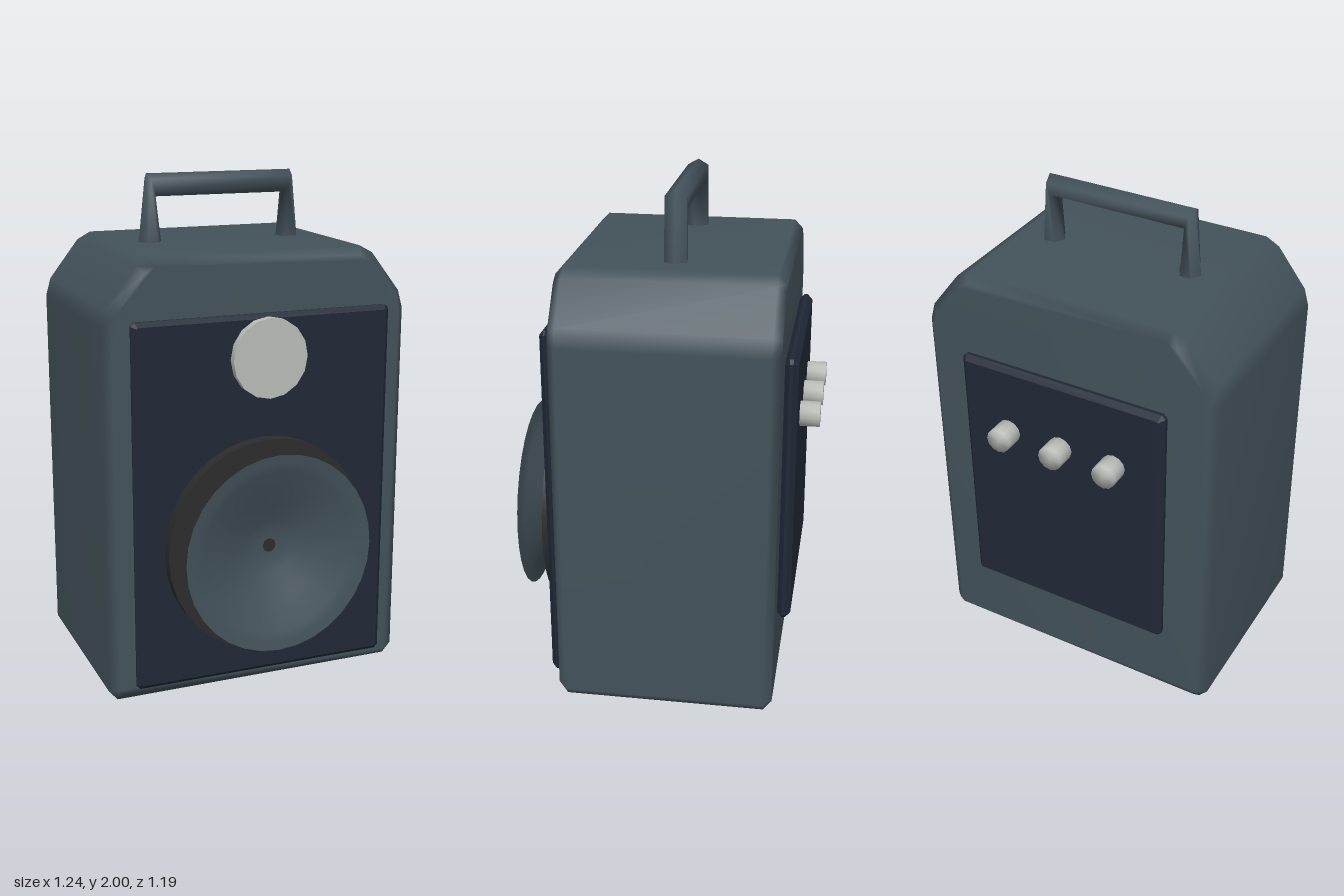
import * as THREE from 'three';
import { mergeVertices } from 'three/addons/utils/BufferGeometryUtils.js';

const material = (color, extra = {}) => new THREE.MeshStandardMaterial({ color, ...extra });

// Share vertices so that normals blend over every edge
function smooth(geometry) {
  geometry.deleteAttribute('normal');
  geometry.deleteAttribute('uv');
  const merged = mergeVertices(geometry, 1e-4);
  merged.computeVertexNormals();
  return merged;
}

// Bevelled slab: the outline is the widest section, z0..z1 the full depth
function slab(points, z0, z1, bevel) {
  const shape = new THREE.Shape(points.map(([x, y]) => new THREE.Vector2(x, y)));
  const geometry = new THREE.ExtrudeGeometry(shape, {
    depth: z1 - z0 - 2 * bevel, bevelEnabled: true, bevelSegments: 1,
    bevelSize: bevel, bevelThickness: bevel, bevelOffset: -bevel,
  });
  return geometry.translate(0, 0, z0 + bevel);
}

// Rectangle with cut corners
function cutRectangle(w, y0, y1, c) {
  return [[-w + c, y0], [w - c, y0], [w, y0 + c], [w, y1 - c],
    [w - c, y1], [-w + c, y1], [-w, y1 - c], [-w, y0 + c]];
}

// Cylinder lying along z
function disc(radius, z0, z1, segments) {
  return new THREE.CylinderGeometry(radius, radius, z1 - z0, segments)
    .rotateX(Math.PI / 2).translate(0, 0, (z0 + z1) / 2);
}

// Six-sided bar swept through rings of [x, y, half-width x, half-width y]
function hexBar(rings, z, radius) {
  const positions = [], index = [], n = 6;
  for (const [x, y, dx, dy] of rings) {
    for (let i = 0; i < n; i++) {
      const a = (i / n) * Math.PI * 2;
      positions.push(x + dx * Math.cos(a), y + dy * Math.cos(a), z + radius * Math.sin(a));
    }
  }
  for (let r = 0; r < rings.length - 1; r++) {
    for (let i = 0; i < n; i++) {
      const a = r * n + i, b = r * n + (i + 1) % n;
      index.push(a, a + n, b, b, a + n, b + n);
    }
  }
  const geometry = new THREE.BufferGeometry();
  geometry.setAttribute('position', new THREE.Float32BufferAttribute(positions, 3));
  geometry.setIndex(index);
  geometry.computeVertexNormals();
  return geometry;
}

export function createModel() {
  const model = new THREE.Group();
  model.name = 'speaker';
  const bodyMat = material(0x43525a);
  const handleMat = material(0x43525a, { side: THREE.DoubleSide });
  const coneMat = material(0x43525a, { side: THREE.DoubleSide });
  const panelMat = material(0x202836);
  const ringMat = material(0x2c2c2c);
  const paleMat = material(0xb8bdb6);

  const add = (name, geometry, mat, parent = model) => {
    const mesh = new THREE.Mesh(geometry, mat);
    mesh.name = name;
    parent.add(mesh);
    return mesh;
  };

  // Cabinet with sloped shoulders
  const half = [[0.585, 0], [0.62, 0.04], [0.62, 1.48], [0.6, 1.55], [0.48, 1.705], [0.425, 1.735]];
  const outline = [...half, ...half.map(([x, y]) => [-x, y]).reverse()];
  add('cabinet', smooth(slab(outline, -0.465, 0.39, 0.033)), bodyMat);

  // Front and back panels
  add('frontPanel', slab(cutRectangle(0.525, 0.06, 1.51, 0.015), 0.395, 0.437, 0.018), panelMat);
  add('backPanel', slab(cutRectangle(0.435, 0.33, 1.415, 0.015), -0.517, -0.463, 0.02), panelMat);

  // Tweeter
  const tweeter = add('tweeter', disc(0.15, 0.458, 0.49, 16), paleMat);
  tweeter.position.y = 1.35;
  tweeter.scale.y = 1.03;

  // Woofer: solid ring behind an open, flaring cone
  const woofer = new THREE.Group();
  woofer.name = 'woofer';
  woofer.position.y = 0.61;
  woofer.scale.y = 1.04;
  model.add(woofer);
  add('wooferRing', disc(0.41, 0.43, 0.486, 32), ringMat, woofer);
  const profile = [[0.026, 0.488], [0.06, 0.489], [0.105, 0.5], [0.2, 0.539], [0.31, 0.583], [0.345, 0.59], [0.38, 0.595]]
    .map(([r, z]) => new THREE.Vector2(r, z));
  add('wooferCone', new THREE.LatheGeometry(profile, 32).rotateX(Math.PI / 2), coneMat, woofer);

  // Knobs on the back
  for (const x of [-0.23, 0, 0.23]) {
    const knob = add('knob', smooth(disc(0.05, -0.595, -0.51, 12)), paleMat);
    knob.position.set(x, 1.13, 0);
  }

  // Carrying handle
  add('handle', hexBar([
    [-0.293, 1.71, -0.049, 0],
    [-0.29, 1.955, -0.015, 0.045],
    [0.29, 1.955, 0.015, 0.045],
    [0.293, 1.71, 0.049, 0],
  ], -0.04, 0.048), handleMat);

  return model;
}
